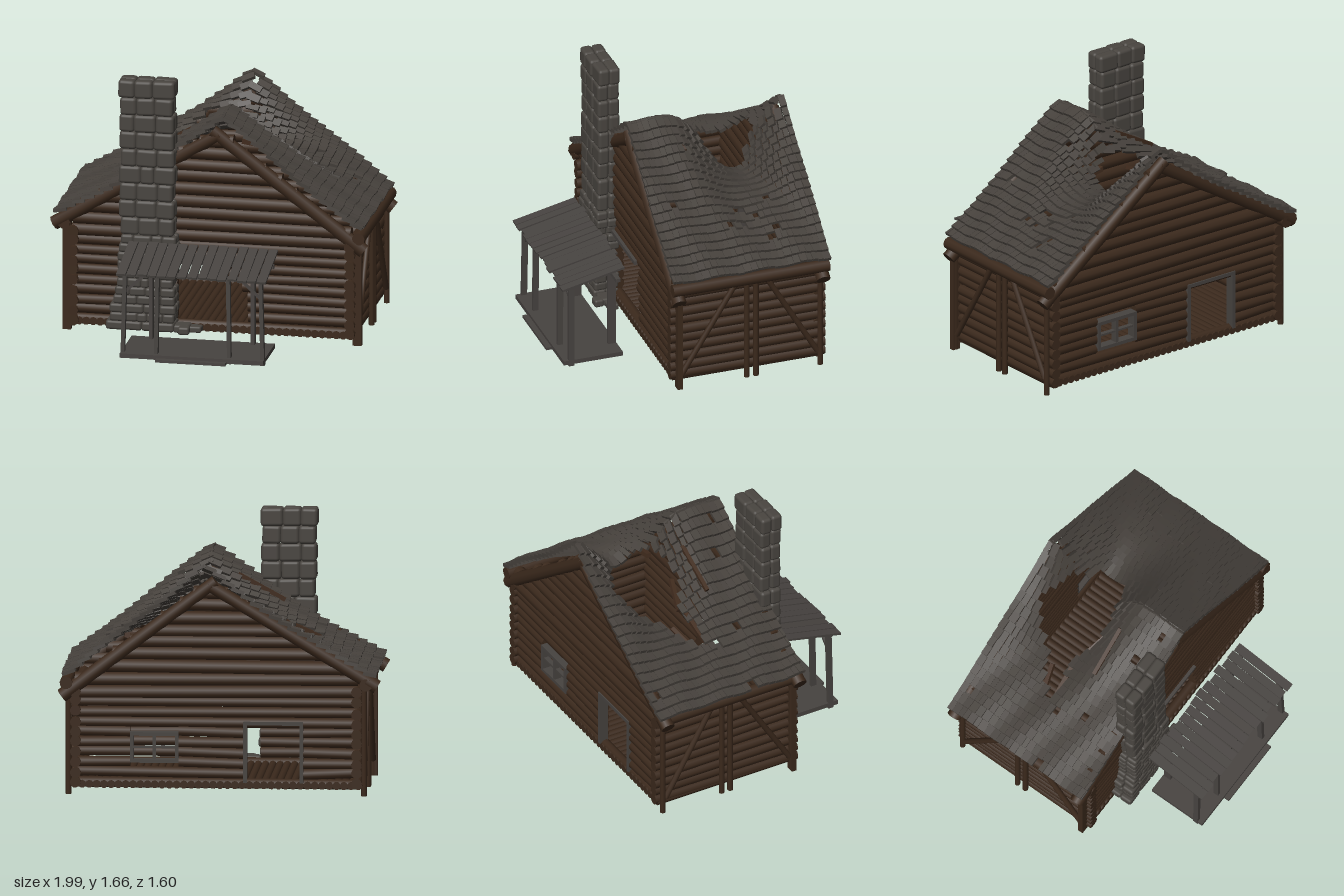
import * as THREE from 'three';
import { mergeGeometries } from 'three/addons/utils/BufferGeometryUtils.js';
import { RoundedBoxGeometry } from 'three/addons/geometries/RoundedBoxGeometry.js';

const material = (name, color) => {
  const m = new THREE.MeshStandardMaterial({ color });
  m.name = name;
  return m;
};
const V = (x, y, z) => new THREE.Vector3(x, y, z);

export function createModel() {
  const model = new THREE.Group();
  const logBrown = material('log brown', 0x3b291c);
  const brokenBrown = material('broken timber brown', 0x412c1e);
  const shingleGray = material('shingle gray', 0x46413c);
  const stoneGray = material('stone gray', 0x494540);
  const plankGray = material('weathered plank gray', 0x474340);

  let seed = 7;
  const rnd = (a = 0, b = 1) => {
    seed = (seed * 16807) % 2147483647;
    return a + (b - a) * (seed / 2147483647);
  };
  const add = (name, mat, geos) => {
    const mesh = new THREE.Mesh(mergeGeometries(geos), mat);
    mesh.name = name;
    model.add(mesh);
  };
  // Round log or square bar running between two points
  const align = (g, a, b) => {
    const q = new THREE.Quaternion().setFromUnitVectors(V(0, 1, 0), b.clone().sub(a).normalize());
    const mid = a.clone().add(b).multiplyScalar(0.5);
    return g.applyQuaternion(q).translate(mid.x, mid.y, mid.z);
  };
  const log = (a, b, r, r2 = r) => align(new THREE.CylinderGeometry(r2, r, a.distanceTo(b), 9), a, b);
  const bar = (a, b, w, d = w) => align(new THREE.BoxGeometry(w, a.distanceTo(b), d), a, b);
  const box = (x0, x1, y0, y1, z0, z1) =>
    new THREE.BoxGeometry(x1 - x0, y1 - y0, z1 - z0).translate((x0 + x1) / 2, (y0 + y1) / 2, (z0 + z1) / 2);

  // Floor of round poles
  const floor = [];
  for (let i = 0; i < 40; i++) {
    const x = -0.86 + (i * 1.75) / 39;
    floor.push(log(V(x, 0.065, 0.235), V(x, 0.065, -0.745), 0.025));
  }
  add('floorPoles', logBrown, floor);

  // Gable walls: stacked logs, split around openings [x0, x1, y0, y1, ragged]
  const gable = (name, z, openings) => {
    const logs = [];
    let y = 0.075;
    while (y < 1.27) {
      const upper = y > 0.6;
      const r = upper ? 0.043 : 0.034;
      const left = y < 0.72 ? -0.86 : -0.97 + (y - 0.7) * 1.63;
      const right = y < 0.72 ? 0.9 : 0.95 - (y - 0.64) * 1.29;
      let spans = [[left + rnd(-0.01, 0.015), right + rnd(-0.015, 0.01)]];
      for (const [x0, x1, y0, y1, ragged] of openings) {
        if (y < y0 || y > y1) continue;
        const j = ragged ? rnd(0, 0.06) : 0;
        spans = spans.flatMap(([a, b]) => (a < x0 && b > x1 ? [[a, x0], [x1 + j, b]] : [[a, b]]));
      }
      for (const [a, b] of spans)
        logs.push(log(V(a, y + rnd(-0.008, 0.008), z), V(b, y + rnd(-0.008, 0.008), z), r * rnd(0.9, 1.06), r));
      y += upper ? 0.077 : 0.063;
    }
    add(name, logBrown, logs);
  };
  gable('frontWallLogs', 0.195, [[-0.2, 0.2, 0.1, 0.5, true]]);
  gable('backWallLogs', -0.71, [[0.25, 0.55, 0.2, 0.39], [-0.52, -0.16, 0.08, 0.45]]);

  // Side walls with posts, diagonal braces and eave logs
  for (const s of [-1, 1]) {
    const side = s > 0 ? 'left' : 'right';
    const wallX = 0.018 + s * 0.868, postX = 0.018 + s * 0.912, eaveX = 0.018 + s * 0.925;
    const logs = [];
    for (let y = 0.075; y < 0.68; y += 0.063)
      logs.push(log(V(wallX, y + rnd(-0.009, 0.009), 0.25), V(wallX, y + rnd(-0.009, 0.009), -0.76),
        0.034 * rnd(0.88, 1.06), 0.034));
    add(side + 'WallLogs', logBrown, logs);
    const frame = [0.2, -0.24, -0.3, -0.72].map((z) => log(V(postX, 0, z), V(postX, 0.68, z), 0.018));
    frame.push(log(V(postX, 0.1, 0.18), V(postX, 0.67, -0.17), 0.018));
    frame.push(log(V(postX, 0.1, -0.7), V(postX, 0.67, -0.37), 0.018));
    frame.push(box(postX - 0.028, postX + 0.026, 0, 0.7, 0.185, 0.218));
    add(side + 'PostsAndBraces', logBrown, frame);
    add(side + 'EaveLog', logBrown, [log(V(eaveX, 0.695, 0.25), V(eaveX, 0.695, -0.77), 0.04)]);
  }

  // Crossed rake logs on both gables
  for (const z of [0.212, -0.728])
    add(z > 0 ? 'frontRakeLogs' : 'backRakeLogs', logBrown, [
      log(V(-0.975, 0.68, z), V(0.07, 1.31, z), 0.045, 0.04),
      log(V(0.97, 0.61, z), V(0.02, 1.33, z), 0.045, 0.04),
    ]);

  // Roof surface: two slopes whose ridge has sunk in the middle
  const roofPoint = (s, t, z) => {
    const k = Math.min(1, Math.abs(z + 0.4) / 0.37);
    const sag = 0.36 * Math.cos((k * Math.PI) / 2) ** 2 * (1 - t) ** 2.3;
    const flare = (s < 0 ? 0.035 : 0.008) * Math.sin(Math.PI * t);
    const ripple = 0.006 * Math.sin(z * 22 + t * 9);
    return V(0.09 + t * (s > 0 ? 0.86 : -1.05), 1.43 - t * 0.68 - flare - sag + ripple, z);
  };
  // Outline of the collapsed area as x, z pairs
  const hole = [[-0.17, -0.65], [0.02, -0.61], [0.22, -0.46], [0.22, -0.26], [-0.05, -0.21], [-0.2, -0.19],
    [-0.38, -0.3], [-0.55, -0.26], [-0.68, -0.21], [-0.6, -0.31], [-0.4, -0.44], [-0.3, -0.56]];
  const inHole = (x, z) => {
    let inside = false;
    hole.forEach(([xa, za], i) => {
      const [xb, zb] = hole[(i + 1) % hole.length];
      if (za > z !== zb > z && x < ((xb - xa) * (z - za)) / (zb - za) + xa) inside = !inside;
    });
    return inside;
  };
  const rows = 18;
  for (const s of [-1, 1]) {
    const shingles = [];
    for (let row = 0; row < rows; row++) {
      const t = (row + 0.5) / rows;
      for (let z = -0.78; z < 0.245; ) {
        const w = Math.min(rnd(0.03, 0.052), 0.25 - z);
        const zc = z + w / 2;
        z += w;
        const p = roofPoint(s, t, zc);
        const worn = s > 0 && t > 0.4 && t < 0.85 && zc < -0.2 && zc > -0.62;
        if (inHole(p.x, zc) || rnd() < (worn ? 0.1 : 0.015)) continue;
        const down = roofPoint(s, t + 0.02, zc).sub(roofPoint(s, t - 0.02, zc)).normalize();
        const along = roofPoint(s, t, zc + 0.01).sub(roofPoint(s, t, zc - 0.01)).normalize();
        const up = along.clone().cross(down).normalize().multiplyScalar(s);
        // lower ends are lifted so each row overlaps the next
        down.addScaledVector(up, 0.3).normalize();
        const normal = along.clone().cross(down).normalize();
        const m = new THREE.Matrix4().makeBasis(down, normal, down.clone().cross(normal));
        m.setPosition(p.addScaledVector(up, rnd(0, 0.004)));
        shingles.push(new THREE.BoxGeometry(rnd(0.08, 0.086), 0.021, w - 0.0015).applyMatrix4(m));
      }
    }
    add(s > 0 ? 'leftRoofShingles' : 'rightRoofShingles', shingleGray, shingles);
  }

  // Broken timbers around the collapse
  add('brokenRafters', brokenBrown, [
    bar(V(-0.37, 1.13, -0.1), V(-0.08, 1.29, -0.11), 0.024),
    bar(V(-0.66, 0.9, -0.24), V(-0.38, 1.02, -0.26), 0.026),
    bar(V(-0.62, 0.89, -0.32), V(-0.42, 0.97, -0.38), 0.026),
    bar(V(0.3, 1.11, -0.24), V(0.12, 1.14, -0.23), 0.03),
    bar(V(0.6, 0.96, -0.49), V(0.5, 0.95, -0.47), 0.04),
    bar(V(-0.3, 0.99, -0.26), V(-0.1, 1.08, -0.2), 0.026),
  ]);

  // Chimney: courses of rounded stones, broad base and narrow stack
  const stones = [];
  const stone = (x, y, z, w, h, d) =>
    stones.push(new RoundedBoxGeometry(w, h, d, 2, Math.min(w, h, d) * 0.28)
      .rotateY(rnd(-0.04, 0.04)).rotateZ(rnd(-0.03, 0.03)).translate(x, y, z));
  const course = (x0, x1, y, h, z0, z1, n) => {
    const cuts = [x0];
    for (let i = 1; i < n; i++) cuts.push(x0 + ((x1 - x0) * (i + rnd(-0.2, 0.2))) / n);
    cuts.push(x1);
    for (let i = 0; i < n; i++)
      for (const f of [0.25, 0.75])
        stone((cuts[i] + cuts[i + 1]) / 2, y + h / 2, z0 + (z1 - z0) * f + rnd(-0.004, 0.004),
          cuts[i + 1] - cuts[i] + 0.003, h + 0.003, (z1 - z0) / 2 + 0.003);
  };
  for (let i = 0; i < 11; i++) {
    const k = 1 - i / 10;
    course(-0.54 - 0.08 * k * k + rnd(-0.01, 0.01), -0.19 + rnd(-0.02, 0.015), 0.06 + i * 0.055, 0.055,
      0.2, 0.34 + 0.02 * k, 4 + (i % 2));
  }
  for (let i = 0; i < 9; i++)
    course(-0.545 + rnd(-0.008, 0.012), -0.2 + rnd(-0.012, 0.004), 0.665 + i * 0.11, 0.11, 0.19, 0.33, 3);
  stone(-0.15, 0.08, 0.3, 0.1, 0.05, 0.1);
  stone(-0.07, 0.075, 0.29, 0.08, 0.04, 0.07);
  stone(-0.13, 0.08, 0.36, 0.07, 0.05, 0.06);
  add('chimneyStones', stoneGray, stones);

  // Back door and window frames, front door lintel
  const opening = (x0, x1, y0, y1) => {
    const z0 = -0.75, z1 = -0.69, w = 0.022;
    return [box(x0, x0 + w, y0, y1, z0, z1), box(x1 - w, x1, y0, y1, z0, z1), box(x0, x1, y1 - w, y1, z0, z1)];
  };
  add('backDoorFrame', plankGray, opening(-0.52, -0.15, 0.08, 0.46));
  add('backWindowFrame', plankGray, [
    ...opening(0.25, 0.55, 0.2, 0.39),
    box(0.25, 0.55, 0.2, 0.222, -0.75, -0.69),
    box(0.39, 0.41, 0.2, 0.39, -0.745, -0.7),
    box(0.25, 0.55, 0.29, 0.302, -0.74, -0.71),
  ]);
  add('frontDoorLintel', plankGray, [box(-0.22, 0.22, 0.5, 0.525, 0.2, 0.245)]);

  // Porch: deck, step, posts, beams, braces and sloping plank roof
  add('porchDeck', plankGray, [box(-0.45, 0.45, 0.012, 0.04, 0.4, 0.785)]);
  add('porchStep', plankGray, [box(-0.22, 0.22, 0.005, 0.022, 0.77, 0.82)]);
  const posts = [];
  for (const s of [-1, 1]) {
    posts.push(bar(V(s * 0.44, 0, 0.735), V(s * 0.425, 0.555, 0.73), 0.024, 0.035));
    posts.push(bar(V(s * 0.23, 0, 0.735), V(s * 0.222, 0.555, 0.73), 0.024, 0.035));
    posts.push(bar(V(s * 0.32, 0.01, 0.43), V(s * 0.32, 0.56, 0.43), 0.024, 0.05));
    posts.push(bar(V(s * 0.42, 0.43, 0.73), V(s * 0.3, 0.54, 0.73), 0.016));
  }
  for (const z of [0.73, 0.43]) posts.push(box(-0.45, 0.45, 0.533, 0.557, z - 0.015, z + 0.015));
  add('porchPostsAndBeams', plankGray, posts);
  const planks = [];
  for (let i = 0; i < 15; i++) {
    const x = -0.44 + (i * 0.88) / 14;
    const j = rnd(-0.012, 0.012);
    planks.push(bar(V(x, 0.638, 0.385 + j), V(x + rnd(-0.006, 0.006), 0.548, 0.79 + j), rnd(0.052, 0.06), 0.014));
  }
  add('porchRoofPlanks', plankGray, planks);

  return model;
}
